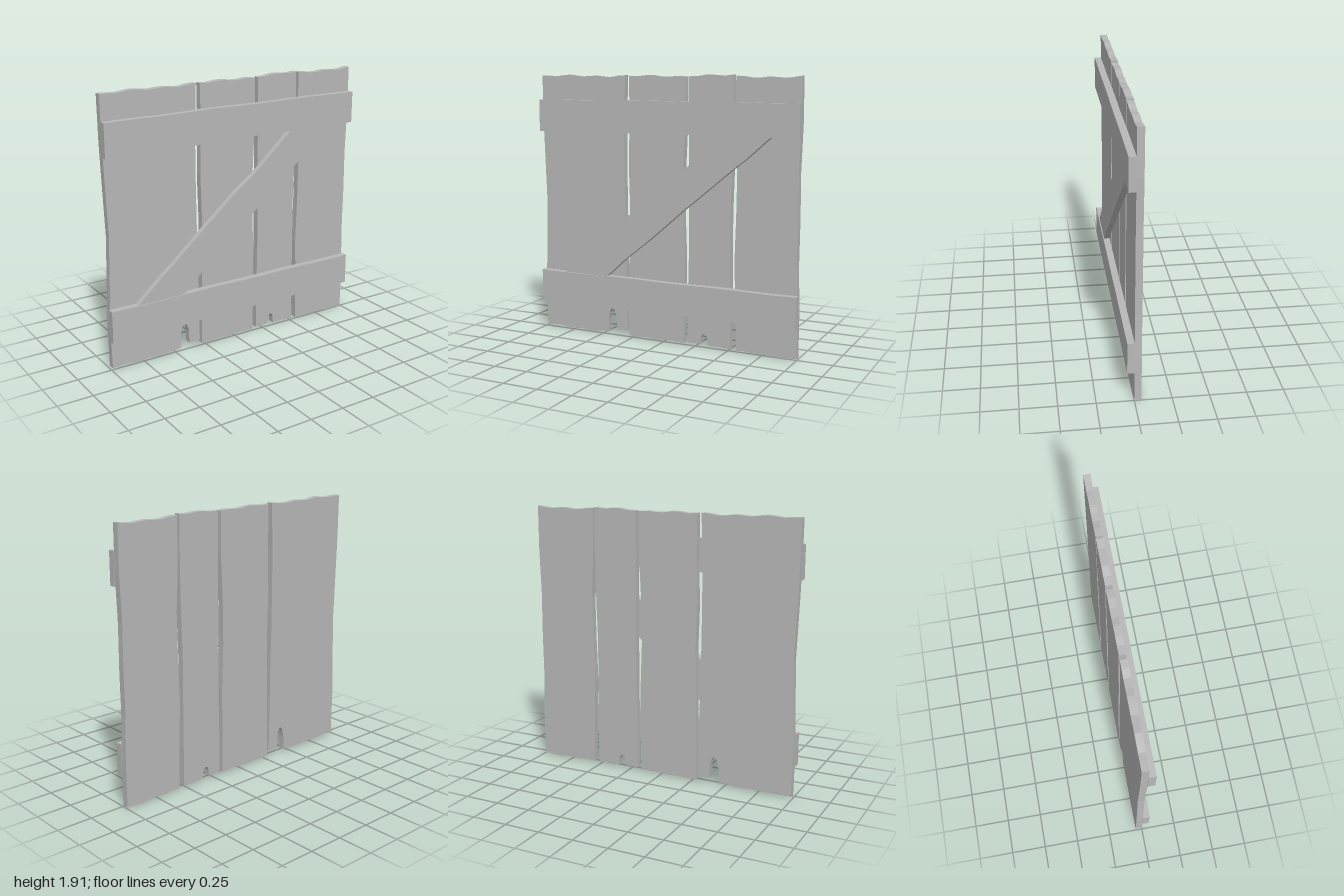
import * as THREE from 'three';

const wood = new THREE.MeshStandardMaterial({ color: 0xb8b8b8 });
wood.name = 'weathered grey wood';

// Cut a board from an outline of [x, y] points, spanning z0 to z1
function board(name, outline, z0, z1) {
  const shape = new THREE.Shape(outline.map(([x, y]) => new THREE.Vector2(x, y)));
  const geometry = new THREE.ExtrudeGeometry(shape, { depth: z1 - z0, bevelEnabled: false });
  geometry.translate(0, 0, z0);
  const mesh = new THREE.Mesh(geometry, wood);
  mesh.name = name;
  return mesh;
}

// Uneven edge from x0 to x1 around height y, made of two waves
function roughEdge(x0, x1, y, amplitude, pitch) {
  const steps = Math.round(Math.abs(x1 - x0) / pitch);
  return Array.from({ length: steps + 1 }, (_, i) => {
    const x = x0 + ((x1 - x0) * i) / steps;
    const wave = 0.6 * Math.sin((x * 1.7) / pitch + y * 9) + 0.4 * Math.sin((x * 0.6) / pitch + y * 5);
    return [x, y + amplitude * wave];
  });
}

// Rounded gap worn into a plank's foot, from its right side to its left
function notchArch({ x, halfWidth, height, rightFoot }) {
  return Array.from({ length: 9 }, (_, i) => {
    const angle = (Math.PI * i) / 8;
    const foot = i < 4 ? rightFoot : 0.025;
    return [x + halfWidth * Math.cos(angle), foot + (height - foot) * Math.sin(angle) ** 0.6];
  });
}

// Upright plank: side edges are x values at even heights from foot to top
function plank(name, { left, right, top, foot, notch }) {
  const side = (xs) => xs.map((x, i) => [x, foot + ((top - foot) * i) / (xs.length - 1)]);
  let bottom = roughEdge(right.at(0), left.at(0), foot, 0.007, 0.05);
  if (notch) {
    const before = bottom.filter(([x]) => x > notch.x + notch.halfWidth + 0.01);
    const after = bottom.filter(([x]) => x < notch.x - notch.halfWidth - 0.01);
    const raised = before.map(([x, y]) => [x, y + notch.rightFoot - foot]);
    bottom = [...raised, ...notchArch(notch), ...after];
  }
  const outline = [
    ...roughEdge(left.at(-1), right.at(-1), top, 0.009, 0.06),
    ...side(right).slice(1, -1).reverse(),
    ...bottom,
    ...side(left).slice(1, -1),
  ];
  return board(name, outline, -0.047, 0);
}

const planks = [
  {
    left: [-0.99, -0.995, -0.985, -0.976, -0.987, -0.997, -1],
    right: [-0.298, -0.303, -0.305, -0.312, -0.315, -0.315, -0.304],
    top: 1.901, foot: 0.016,
    notch: { x: -0.42, halfWidth: 0.035, height: 0.203, rightFoot: 0.045 },
  },
  {
    left: [-0.282, -0.278, -0.274, -0.269, -0.278, -0.27, -0.273],
    right: [0.16, 0.162, 0.162, 0.15, 0.153, 0.168, 0.168],
    top: 1.9, foot: 0.015,
  },
  {
    left: [0.19, 0.191, 0.197, 0.196, 0.195, 0.193, 0.193],
    right: [0.517, 0.514, 0.512, 0.51, 0.519, 0.521, 0.517],
    top: 1.905, foot: 0.019,
    notch: { x: 0.318, halfWidth: 0.028, height: 0.1, rightFoot: 0.019 },
  },
  {
    left: [0.556, 0.551, 0.541, 0.55, 0.554, 0.538, 0.539],
    right: [0.996, 0.997, 0.987, 0.99, 0.987, 0.997, 0.996],
    top: 1.896, foot: 0.009,
  },
];

// Horizontal batten with slightly uneven long edges
function batten(name, bottom, top) {
  const outline = [...roughEdge(-1, 1, top, 0.004, 0.2), ...roughEdge(1, -1, bottom, 0.004, 0.2)];
  return board(name, outline, 0, 0.048);
}

// Diagonal brace, butted against both battens
const brace = [
  [-0.8, 0.45], [-0.57, 0.65], [-0.53, 0.677], [-0.31, 0.87], [0, 1.13], [0.15, 1.235], [0.45, 1.502],
  [0.8, 1.5], [0.63, 1.348], [0.55, 1.287], [0.16, 0.965], [-0.08, 0.757], [-0.3, 0.58], [-0.445, 0.448],
];

export function createModel() {
  const group = new THREE.Group();
  group.name = 'plankDoor';
  planks.forEach((spec, i) => group.add(plank(`plank${i + 1}`, spec)));
  group.add(batten('topBatten', 1.5, 1.728), batten('bottomBatten', 0.223, 0.449));
  group.add(board('diagonalBrace', brace, 0, 0.041));
  return group;
}
